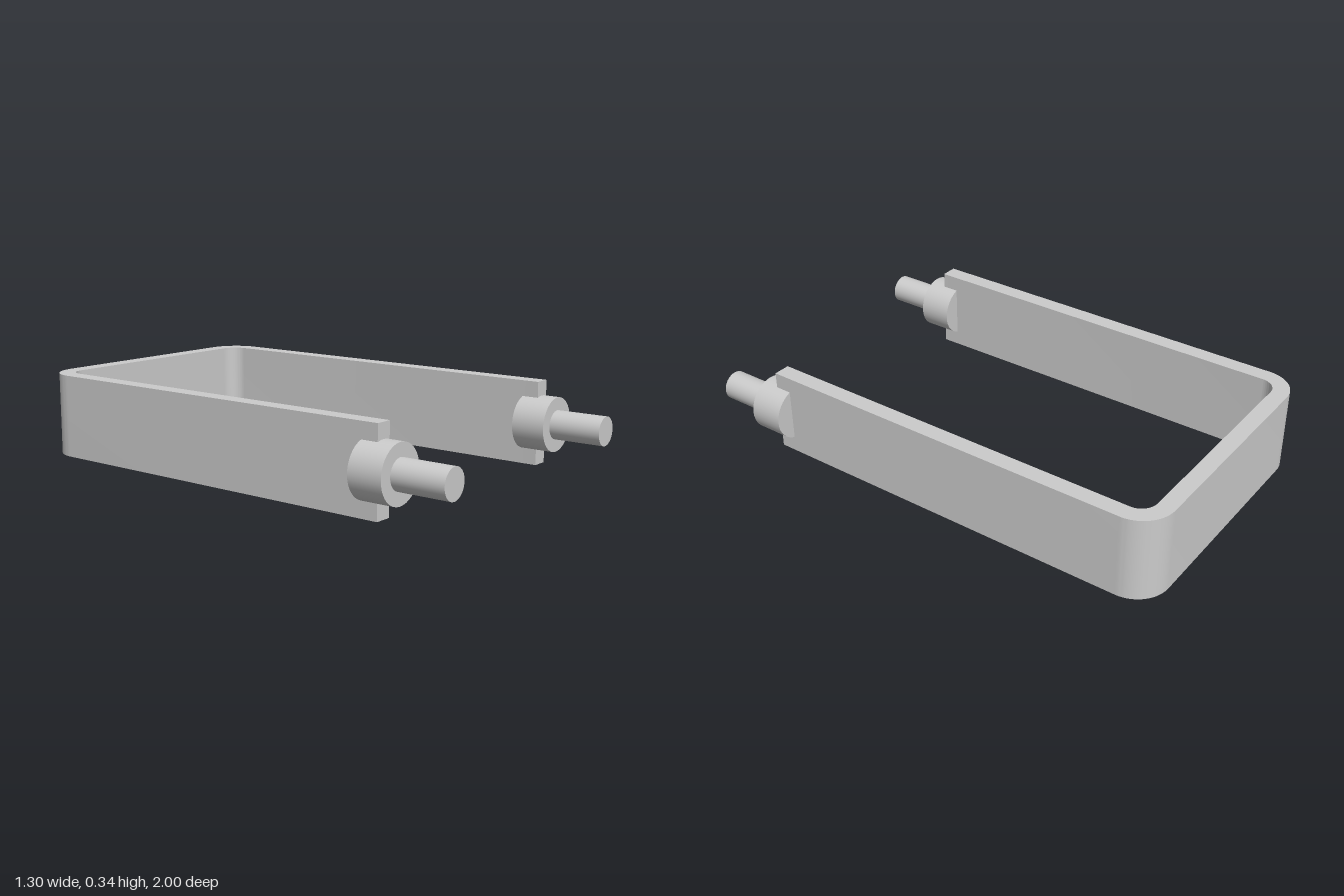
import * as THREE from 'three';
import { toCreasedNormals } from 'three/addons/utils/BufferGeometryUtils.js';

const HEIGHT = 0.34;
const OUTER = 0.573, INNER = 0.505;   // half widths of the strap
const BACK = -1, FRONT = 0.717;       // strap extent in z
const R_OUT = 0.137, R_IN = 0.068;    // bend radii
const PIN_X = 0.539;

const material = new THREE.MeshStandardMaterial({ color: 0xcccccc });

// Flat strap bent into a U, drawn in plan (shape y = model z)
function strapGeometry() {
  const innerBack = BACK + OUTER - INNER;
  const s = new THREE.Shape();
  s.moveTo(-OUTER, FRONT);
  s.lineTo(-OUTER, BACK + R_OUT);
  s.absarc(-OUTER + R_OUT, BACK + R_OUT, R_OUT, Math.PI, Math.PI * 1.5, false);
  s.absarc(OUTER - R_OUT, BACK + R_OUT, R_OUT, Math.PI * 1.5, Math.PI * 2, false);
  s.lineTo(OUTER, FRONT);
  s.lineTo(INNER, FRONT);
  s.absarc(INNER - R_IN, innerBack + R_IN, R_IN, 0, -Math.PI / 2, true);
  s.absarc(-INNER + R_IN, innerBack + R_IN, R_IN, -Math.PI / 2, -Math.PI, true);
  s.lineTo(-INNER, FRONT);
  s.closePath();
  const g = new THREE.ExtrudeGeometry(s, { depth: HEIGHT, bevelEnabled: false, curveSegments: 12 });
  g.rotateX(Math.PI / 2).translate(0, HEIGHT, 0);
  return toCreasedNormals(g, Math.PI / 6);
}

// Cylinder lying along z between two positions
function rod(name, radius, z0, z1) {
  const g = new THREE.CylinderGeometry(radius, radius, z1 - z0, 40);
  g.rotateX(Math.PI / 2).translate(0, 0, (z0 + z1) / 2);
  const mesh = new THREE.Mesh(g, material);
  mesh.name = name;
  return mesh;
}

export function createModel() {
  const model = new THREE.Group();
  model.name = 'handle';

  const strap = new THREE.Mesh(strapGeometry(), material);
  strap.name = 'strap';
  model.add(strap);

  // Collar and stud on each strap end
  for (const side of [-1, 1]) {
    const fitting = new THREE.Group();
    fitting.name = side > 0 ? 'leftFitting' : 'rightFitting';
    fitting.position.set(side * PIN_X, HEIGHT / 2, 0);
    fitting.add(rod('collar', 0.111, 0.648, 0.787), rod('stud', 0.059, 0.787, 1));
    model.add(fitting);
  }
  return model;
}
